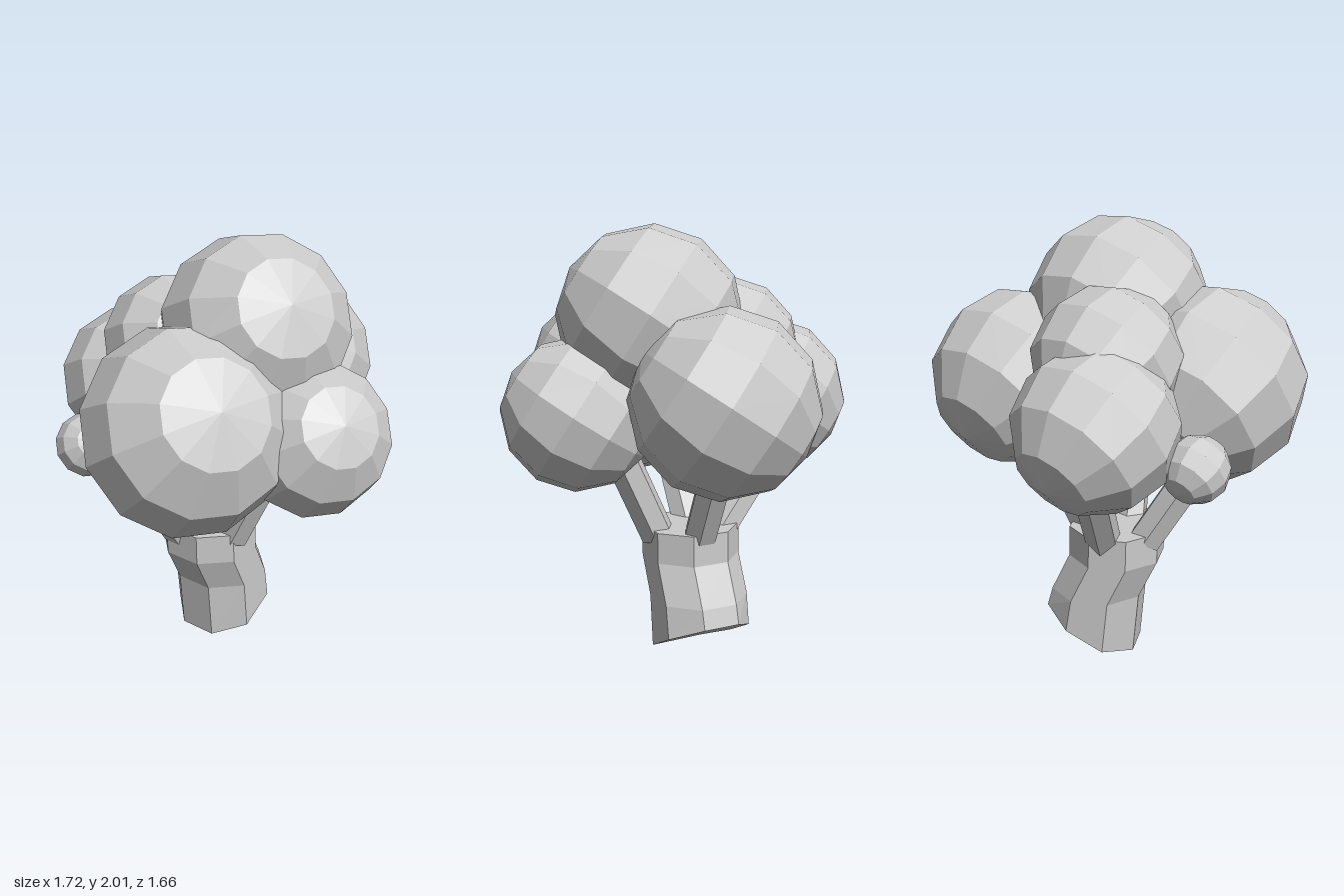
import * as THREE from 'three';

// Faceted normals for the low-poly look
function faceted(geometry) {
  const g = geometry.index ? geometry.toNonIndexed() : geometry;
  g.computeVertexNormals();
  return g;
}

export function createModel() {
  const model = new THREE.Group();
  const grey = new THREE.MeshStandardMaterial({ color: 0xcccccc });
  grey.name = 'plainGrey';

  const add = (name, geometry) => {
    const mesh = new THREE.Mesh(faceted(geometry), grey);
    mesh.name = name;
    model.add(mesh);
    return mesh;
  };

  // Trunk: an octagonal column whose rings shift sideways, with a slanted cut at the base
  const levels = [
    { x: 0.08, y: 0.085, slope: 0.53 },
    { x: 0.055, y: 0.285, slope: 0 },
    { x: -0.03, y: 0.465, slope: 0 },
    { x: -0.033, y: 0.61, slope: 0 },
  ];
  const trunk = new THREE.CylinderGeometry(0.23, 0.23, 1, 8, 3, false, Math.PI / 8);
  const p = trunk.attributes.position;
  for (let i = 0; i < p.count; i++) {
    const level = levels[Math.round((p.getY(i) + 0.5) * 3)];
    const dx = p.getX(i) * 0.98;
    p.setXYZ(i, level.x + dx, Math.max(0, level.y + level.slope * dx), p.getZ(i) - 0.06);
  }
  add('trunk', trunk);

  // Branches: six-sided stems from the trunk top into the crowns
  const branches = [
    ['frontBranch', [-0.06, 0.57, 0.1], [-0.05, 1.0, 0.3]],
    ['leftBranch', [0.1, 0.57, -0.04], [0.31, 0.99, -0.03]],
    ['rightBranch', [-0.18, 0.57, -0.12], [-0.39, 0.91, -0.12]],
    ['backBranch', [0.0, 0.57, -0.2], [-0.01, 0.97, -0.5]],
  ];
  const up = new THREE.Vector3(0, 1, 0);
  for (const [name, from, to] of branches) {
    const a = new THREE.Vector3(...from);
    const b = new THREE.Vector3(...to);
    const dir = b.clone().sub(a);
    const stem = add(name, new THREE.CylinderGeometry(0.082, 0.082, dir.length(), 6));
    stem.position.copy(a).add(b).multiplyScalar(0.5);
    stem.quaternion.setFromUnitVectors(up, dir.normalize());
  }

  // Crowns: low-poly balls that all share one tilted pole
  const pole = new THREE.Vector3(-0.42, 0.54, 0.73).normalize();
  const side = new THREE.Vector3(0.84, 0.54, 0.084);
  side.addScaledVector(pole, -side.dot(pole)).normalize();
  const tilt = new THREE.Matrix4().makeBasis(side, pole, side.clone().cross(pole));
  const crowns = [
    ['topCrown', 0.01, 1.59, 0.163, 0.42],
    ['rightCrown', -0.41, 1.26, 0.12, 0.458],
    ['leftCrown', 0.45, 1.27, 0.025, 0.412],
    ['frontCrown', -0.03, 1.185, 0.495, 0.345],
    ['backCrown', -0.035, 1.2, -0.48, 0.363],
    ['upperBackCrown', -0.03, 1.43, -0.25, 0.335],
    ['smallCrown', -0.45, 1.04, -0.425, 0.148],
  ];
  for (const [name, x, y, z, r] of crowns) {
    const ball = add(name, new THREE.SphereGeometry(r, 12, 6));
    ball.quaternion.setFromRotationMatrix(tilt);
    ball.position.set(x, y, z);
  }

  return model;
}
